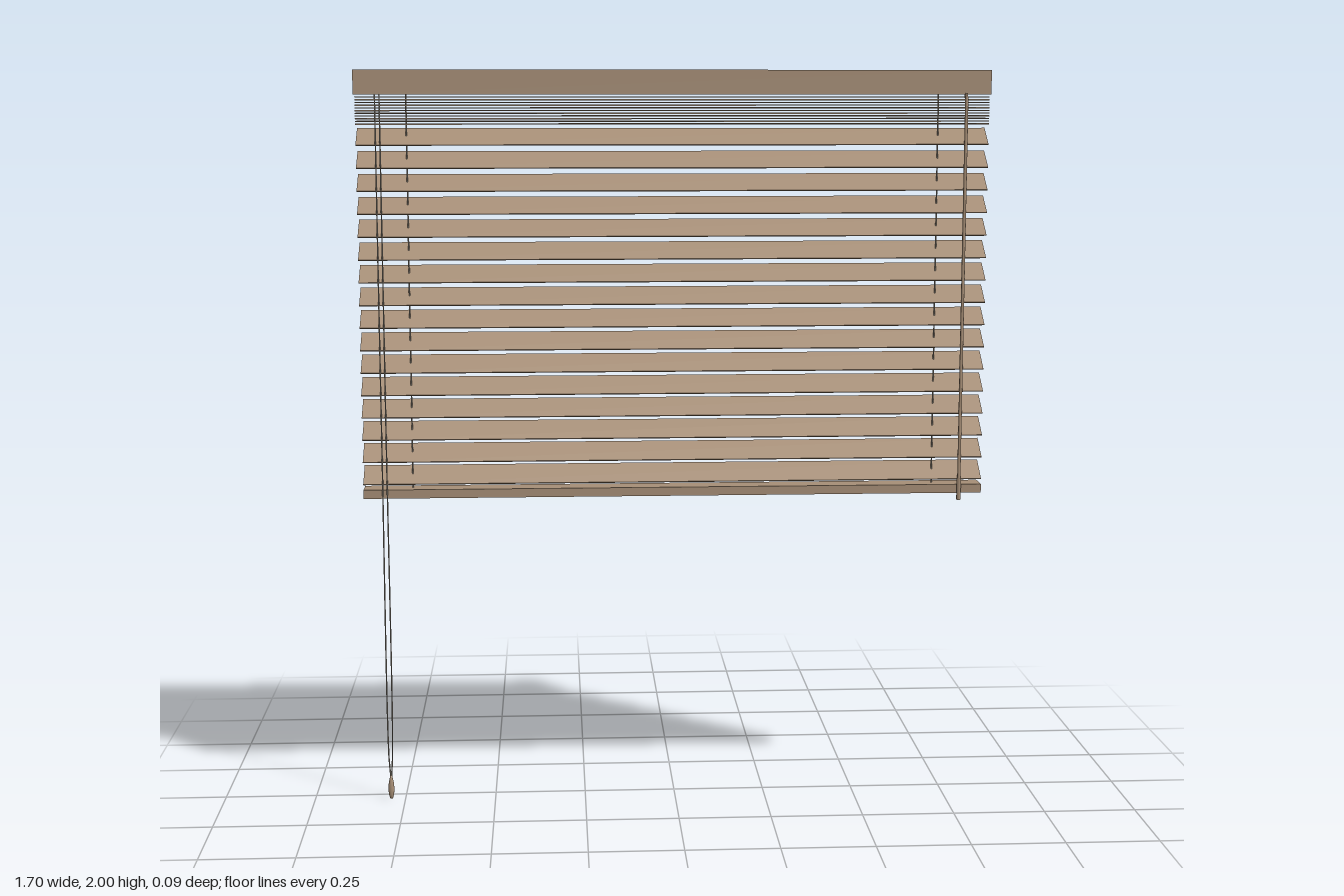
import * as THREE from 'three';

export function createModel() {
  const root = new THREE.Group();
  root.name = 'windowBlind';

  const wood = new THREE.MeshStandardMaterial({ color: 0xa68e76 });
  wood.name = 'tan wood';
  const string = new THREE.MeshStandardMaterial({ color: 0x9c9488 });
  string.name = 'grey cord';

  function add(name, geometry, material, x, y, z) {
    const mesh = new THREE.Mesh(geometry, material);
    mesh.name = name;
    mesh.position.set(x, y, z);
    root.add(mesh);
    return mesh;
  }
  const box = (w, h, d) => new THREE.BoxGeometry(w, h, d);

  // Vertical round bar between two heights
  function bar(name, material, radius, x, y0, y1, z, sides) {
    return add(name, new THREE.CylinderGeometry(radius, radius, y1 - y0, sides), material, x, (y0 + y1) / 2, z);
  }

  // Head rail and its two rear mounting clips
  add('headRail', box(1.704, 0.065, 0.081), wood, 0, 1.9675, -0.003);
  for (const side of [-1, 1]) {
    add('mountingClip', box(0.04, 0.055, 0.005), wood, side * 0.73, 1.967, -0.0455);
  }

  // Gathered flat slats below the head rail
  const slat = box(1.696, 0.003, 0.068);
  for (let i = 0; i < 11; i++) {
    add('stackedSlat', slat, wood, 0, 1.857 + i * 0.0071, 0.001);
  }

  // Tilted slats, front edge low
  const tilted = box(1.696, 0.003, 0.074);
  for (let i = 0; i < 16; i++) {
    add('tiltedSlat', tilted, wood, 0, 1.823 - i * 0.061, 0.003).rotation.x = 0.62;
  }

  // Bottom rail
  add('bottomRail', box(1.696, 0.024, 0.068), wood, 0, 0.86, 0.001);

  // Lift cords threaded through the slats
  for (const side of [-1, 1]) {
    bar('liftCord', string, 0.002, side * 0.715, 0.86, 1.94, 0.001, 8);
  }

  // Tilt wand with a hook and a slightly thicker grip
  bar('tiltWand', wood, 0.0045, 0.785, 0.83, 1.93, 0.04, 10);
  bar('wandGrip', wood, 0.006, 0.785, 0.83, 0.89, 0.04, 10);
  add('wandHook', box(0.006, 0.014, 0.02), wood, 0.785, 1.932, 0.033);

  // Pull cords meeting in the tassel
  for (const side of [-1, 1]) {
    const path = new THREE.CatmullRomCurve3([
      new THREE.Vector3(-0.789 + side * 0.006, 1.94, 0.036),
      new THREE.Vector3(-0.789 + side * 0.006, 1.0, 0.038),
      new THREE.Vector3(-0.789 + side * 0.005, 0.12, 0.038),
      new THREE.Vector3(-0.789 + side * 0.001, 0.06, 0.038),
    ]);
    const cord = new THREE.TubeGeometry(path, 32, 0.0018, 6);
    add('pullCord', cord, string, 0, 0, 0);
  }

  // Turned tassel
  const profile = [[0, 0], [0.004, 0.001], [0.007, 0.012], [0.0085, 0.028], [0.007, 0.046], [0.004, 0.06], [0.003, 0.066], [0, 0.067]]
    .map(([r, y]) => new THREE.Vector2(r, y));
  add('tassel', new THREE.LatheGeometry(profile, 16), wood, -0.789, 0, 0.038);

  return root;
}
